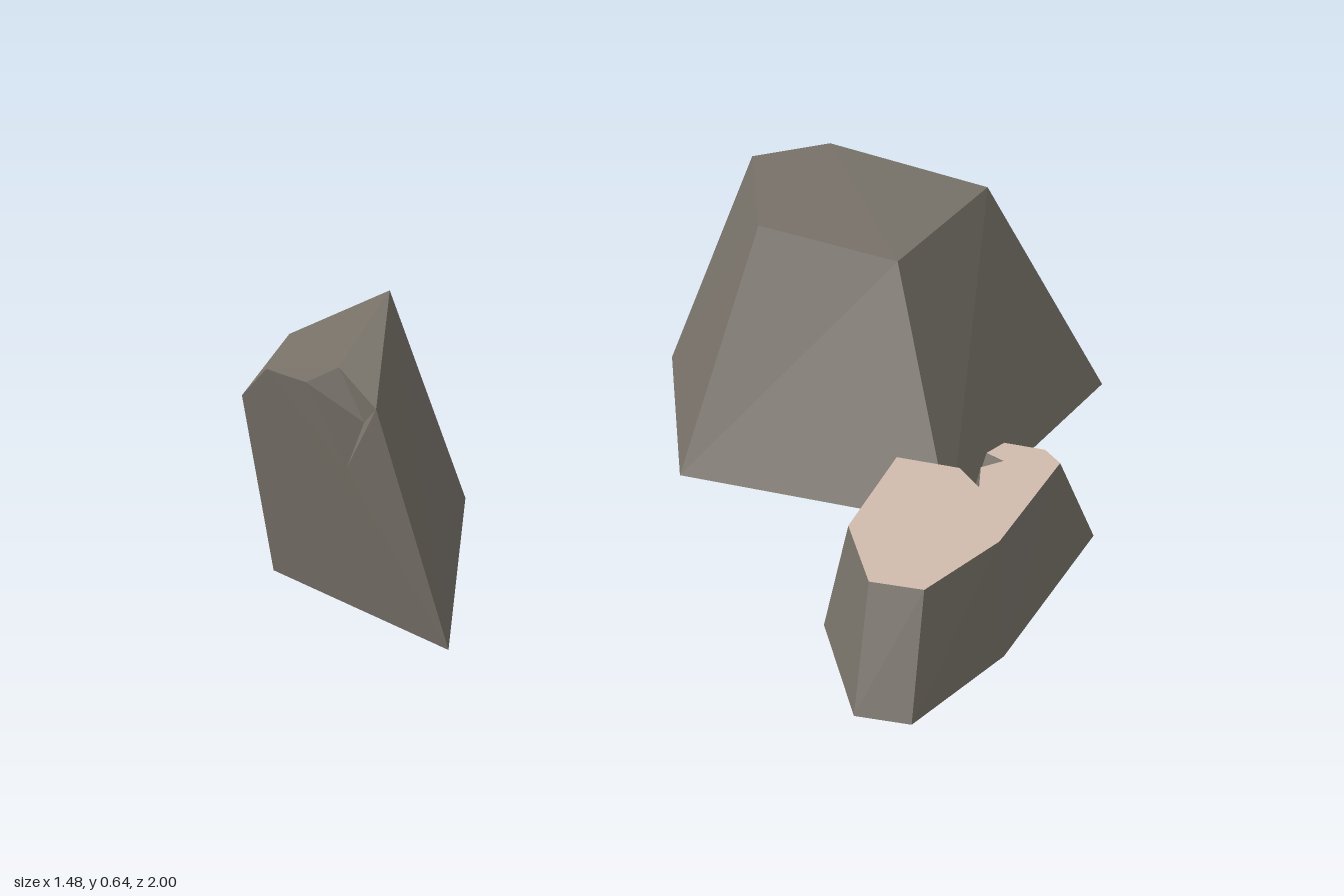
import * as THREE from 'three';

const stone = new THREE.MeshStandardMaterial({ color: 0x777168, side: THREE.DoubleSide });
stone.name = 'stone grey';
const cut = new THREE.MeshStandardMaterial({ color: 0xd0bbae, side: THREE.DoubleSide });
cut.name = 'pale cut stone';

// Flat-shaded mesh from polygons (counter-clockwise from outside, may be concave)
function facets(name, polygons, material) {
  const pos = [];
  for (const poly of polygons) {
    const p = poly.map((c) => new THREE.Vector3(...c));
    const n = new THREE.Vector3();
    p.forEach((a, i) => n.add(a.clone().cross(p[(i + 1) % p.length])));
    n.normalize();
    const u = p[1].clone().sub(p[0]).projectOnPlane(n).normalize();
    const v = n.clone().cross(u);
    const flat = p.map((q) => new THREE.Vector2(q.dot(u), q.dot(v)));
    for (const [a, b, c] of THREE.ShapeUtils.triangulateShape(flat, [])) {
      const turn = flat[b].clone().sub(flat[a]).cross(flat[c].clone().sub(flat[a]));
      const order = turn >= 0 ? [a, b, c] : [a, c, b];
      for (const i of order) pos.push(p[i].x, p[i].y, p[i].z);
    }
  }
  const g = new THREE.BufferGeometry();
  g.setAttribute('position', new THREE.Float32BufferAttribute(pos, 3));
  g.computeVertexNormals();
  const mesh = new THREE.Mesh(g, material);
  mesh.name = name;
  return mesh;
}

// Wall between neighbouring corners of a base ring and a top ring
const wall = (base, top, i, j) => [base[j], base[i], top[i], top[j]];

// Large tapered boulder with a tilted five-sided top, open below
function largeBoulder() {
  const base = [[0.28, 0, -1], [0.36, 0, -0.125], [-0.295, 0, 0.06], [-0.745, 0, -0.45], [-0.54, 0, -0.815]];
  const top = [[0.055, 0.58, -0.74], [0.085, 0.533, -0.295], [-0.25, 0.575, -0.2],
    [-0.465, 0.633, -0.455], [-0.36, 0.637, -0.645]];
  const faces = base.map((_, i) => wall(base, top, i, (i + 1) % 5));
  faces.push([...top].reverse());
  return facets('largeBoulder', faces, stone);
}

// Upright wedge boulder with bevelled shoulder and a chipped front edge
function wedgeBoulder() {
  const backLeft = [-0.74, 0, 0.476], backRight = [-0.63, 0, 0.45];
  const frontRight = [-0.195, 0, 0.93], frontLeft = [-0.735, 0, 0.937];
  const shoulderBack = [-0.658, 0.56, 0.71], peak = [-0.565, 0.626, 0.675];
  const shoulderFront = [-0.69, 0.465, 0.99], rim = [-0.64, 0.582, 0.89], rimFront = [-0.588, 0.557, 0.997];
  const chipLeft = [-0.47, 0.56, 0.995], chipLow = [-0.4, 0.378, 0.975];
  const chipRight = [-0.284, 0.549, 0.98], chipTop = [-0.45, 0.572, 0.925], chipDeep = [-0.36, 0.485, 0.95];
  const chip = [chipLeft, chipLow, chipRight, chipTop];
  return facets('wedgeBoulder', [
    [frontLeft, frontRight, chipRight, chipLow, chipLeft, rimFront, shoulderFront],
    [backLeft, frontLeft, shoulderFront, shoulderBack],
    [frontRight, backRight, peak, chipRight],
    [backRight, backLeft, shoulderBack, peak],
    [shoulderFront, rim, peak, shoulderBack],
    [shoulderFront, rimFront, rim],
    [rim, rimFront, chipLeft, chipTop, chipRight, peak],
    ...chip.map((c, i) => [chipDeep, c, chip[(i + 1) % 4]]),
  ], stone);
}

// Low slab with a pale flat top and a notch in its side
function slab() {
  const h = 0.24;
  const base = [[0.52, -0.37], [0.648, -0.28], [0.738, 0.265], [0.717, 0.577], [0.61, 0.62],
    [0.372, 0.39], [0.27, 0.035], [0.445, -0.065], [0.445, -0.33]].map(([x, z]) => [x, 0, z]);
  const ring = (list) => list.map(([x, z]) => [x, h, z]);
  const top = ring([[0.566, -0.175], [0.624, -0.14], [0.693, 0.23], [0.672, 0.476], [0.568, 0.515],
    [0.41, 0.36], [0.322, 0.05]]);
  const notch = ring([[0.46, 0.01], [0.54, 0.06], [0.495, -0.02], [0.52, -0.075], [0.47, -0.085]]);
  const end = [0.476, h, -0.15];
  const deep = [0.46, 0.13, -0.04];

  const faces = [];
  for (let i = 0; i < 6; i++) faces.push(wall(base, top, i, i + 1));
  faces.push([base[7], base[6], top[6], notch[0], deep]);
  faces.push([base[8], base[7], deep, notch[4], end]);
  faces.push([base[0], base[8], end, top[0]]);
  for (let i = 0; i < 4; i++) faces.push([deep, notch[i], notch[i + 1]]);

  const group = new THREE.Group();
  group.name = 'slab';
  group.add(facets('slabSides', faces, stone));
  group.add(facets('slabTop', [[...top, ...notch, end].reverse()], cut));
  return group;
}

export function createModel() {
  const model = new THREE.Group();
  model.name = 'rocks';
  model.add(largeBoulder(), wedgeBoulder(), slab());
  return model;
}
